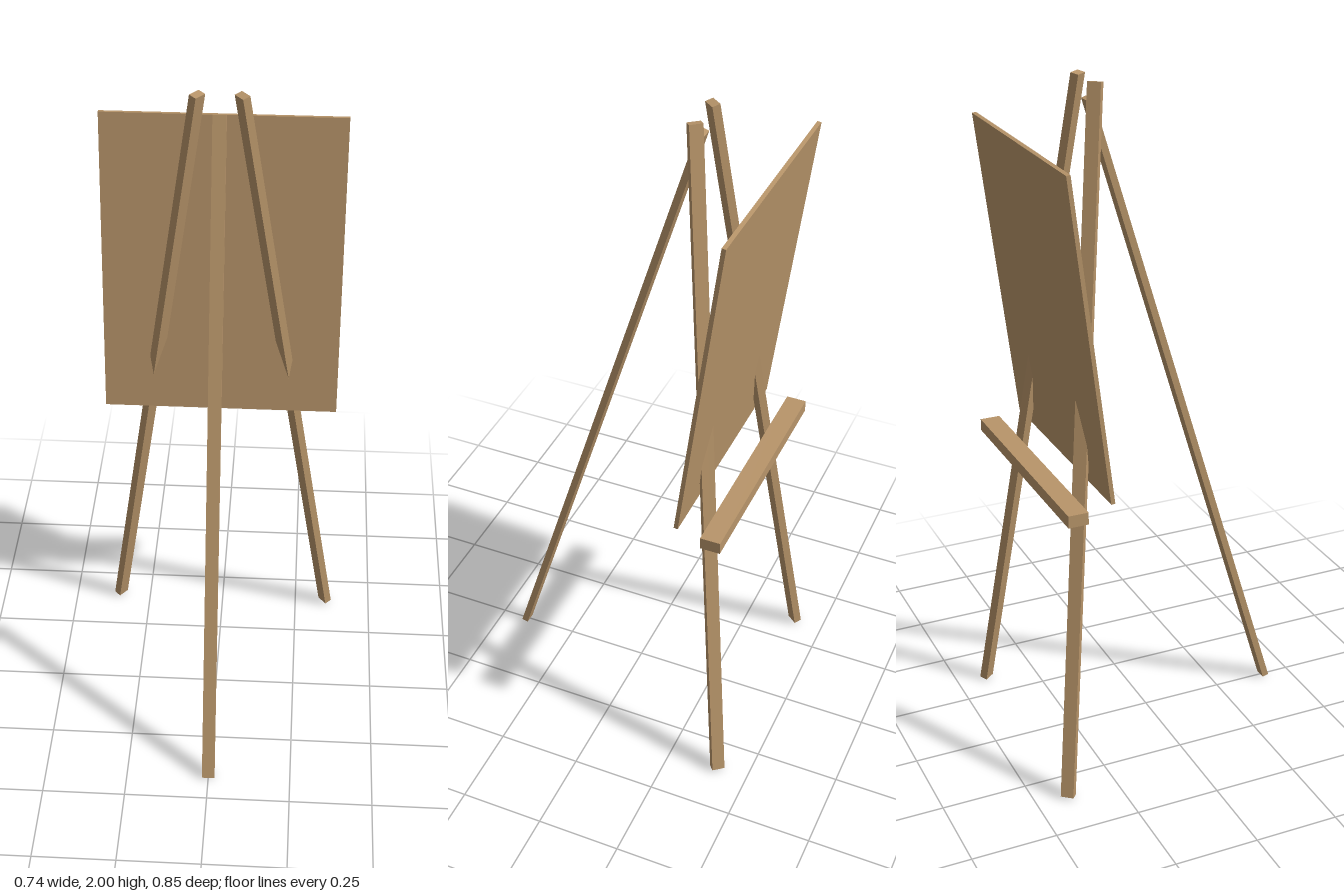
import * as THREE from 'three';

const wood = new THREE.MeshStandardMaterial({ color: 0xb8956a });
wood.name = 'wood';

// Square-cut plank from bottom to top point; its width stays level, its depth follows the lean.
function plank(name, bottom, top, width, depth) {
  const a = new THREE.Vector3(...bottom);
  const b = new THREE.Vector3(...top);
  const axis = b.clone().sub(a);
  const length = axis.length();
  axis.normalize();
  const side = new THREE.Vector3(0, 1, 0).cross(axis).normalize();
  const face = side.clone().cross(axis);
  const mesh = new THREE.Mesh(new THREE.BoxGeometry(width, length, depth), wood);
  mesh.quaternion.setFromRotationMatrix(new THREE.Matrix4().makeBasis(side, axis, face));
  mesh.position.copy(a).add(b).multiplyScalar(0.5);
  mesh.name = name;
  return mesh;
}

export function createModel() {
  const easel = new THREE.Group();
  easel.name = 'easel';

  // Splayed pair of legs carrying the tray
  for (const [name, s] of [['leftLeg', 1], ['rightLeg', -1]]) {
    easel.add(plank(name, [s * 0.351, 0.005, -0.405], [s * 0.06, 1.998, -0.172], 0.038, 0.024));
  }

  // Single prop leg
  easel.add(plank('propLeg', [0, 0.003, 0.416], [0, 1.942, -0.171], 0.038, 0.02));

  // Leaning canvas board
  easel.add(plank('board', [0, 0.916, -0.256], [0, 1.844, -0.369], 0.704, 0.012));

  // Tray ledge
  const tray = new THREE.Mesh(new THREE.BoxGeometry(0.704, 0.036, 0.059), wood);
  tray.position.set(0, 0.888, -0.358);
  tray.name = 'tray';
  easel.add(tray);

  return easel;
}
